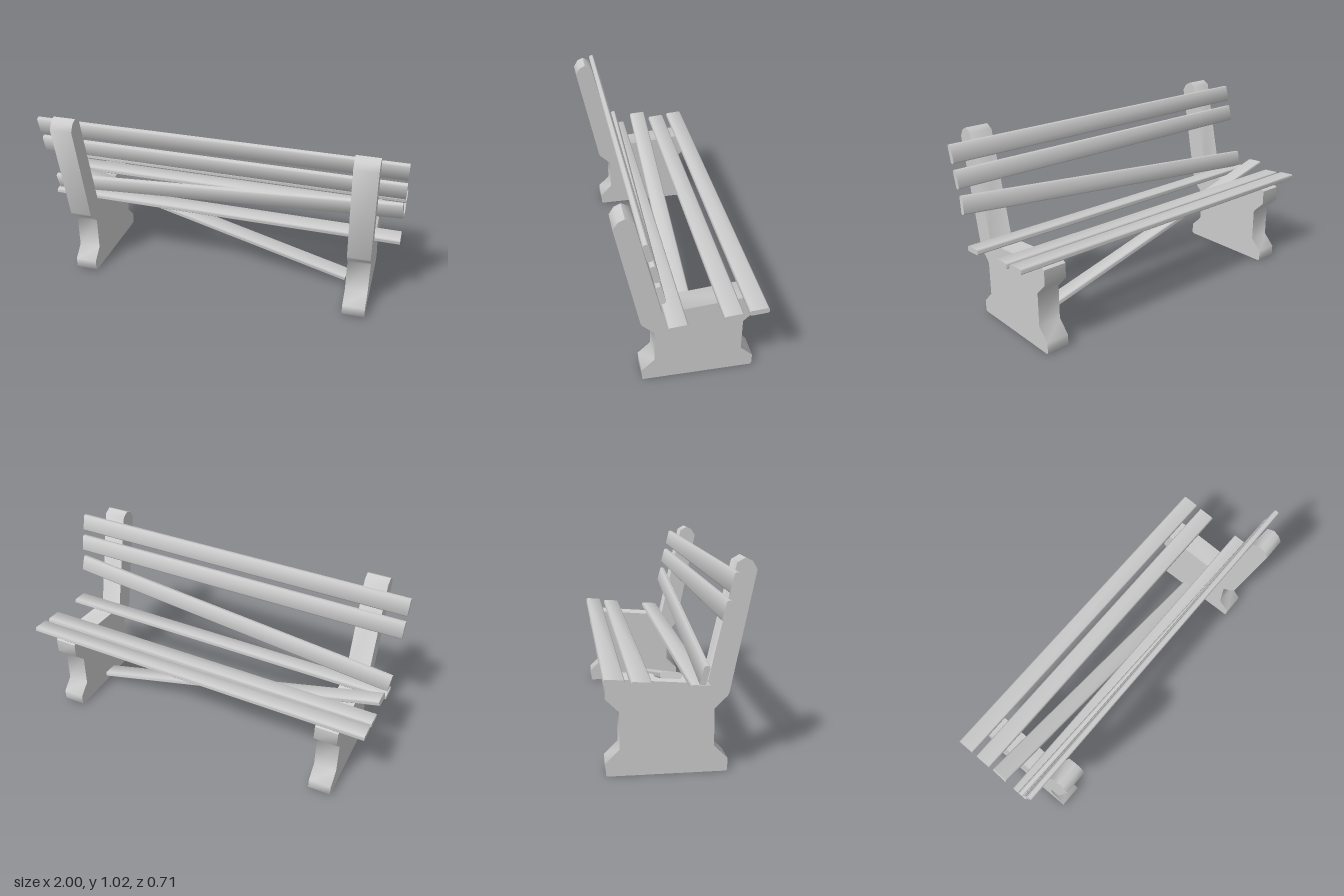
import * as THREE from 'three';
import { toCreasedNormals } from 'three/addons/utils/BufferGeometryUtils.js';

const material = new THREE.MeshStandardMaterial({ color: 0xcccccc });
const SLAT_WIDTH = 0.097, SLAT_THICK = 0.029, CHAMFER = 0.007;

// Extrudes a closed profile, centred along its depth
function extrude(points, depth, crease) {
  const shape = new THREE.Shape(points.map(([x, y]) => new THREE.Vector2(x, y)));
  const geometry = new THREE.ExtrudeGeometry(shape, { depth, bevelEnabled: false });
  geometry.translate(0, 0, -depth / 2);
  return toCreasedNormals(geometry, crease);
}

// Slat between two end centres; wide is the direction of its broad side
function slat(name, start, end, wide) {
  const a = new THREE.Vector3(...start), b = new THREE.Vector3(...end);
  const along = b.clone().sub(a);
  const length = along.length();
  along.normalize();
  const across = new THREE.Vector3(...wide);
  across.addScaledVector(along, -across.dot(along)).normalize();
  const thick = across.clone().cross(along);

  const t = SLAT_THICK / 2, w = SLAT_WIDTH / 2, c = CHAMFER;
  const profile = [
    [t, -w + c], [t, w - c], [t - c, w], [-t + c, w],
    [-t, w - c], [-t, -w + c], [-t + c, -w], [t - c, -w],
  ];
  const geometry = extrude(profile, length, 0.9);
  geometry.applyMatrix4(new THREE.Matrix4().makeBasis(thick, across, along));
  const mesh = new THREE.Mesh(geometry, material);
  mesh.name = name;
  mesh.position.copy(a).add(b).multiplyScalar(0.5);
  return mesh;
}

export function createModel() {
  const bench = new THREE.Group();
  bench.name = 'brokenBench';

  // End supports: foot, waist, seat rest and leaning back post, as [z, y]
  const supportProfile = [
    [-0.334, 0], [0.23, 0], [0.238, 0.008], [0.238, 0.065], [0.172, 0.13],
    [0.172, 0.315], [0.234, 0.375], [0.241, 0.39], [0.358, 0.968], [0.335, 1.006],
    [0.302, 1.022], [0.263, 1.0], [0.137, 0.446], [0.128, 0.438],
    [-0.32, 0.475], [-0.342, 0.461], [-0.342, 0.38], [-0.277, 0.315],
    [-0.277, 0.13], [-0.342, 0.065], [-0.342, 0.008],
  ];
  const supportGeometry = extrude(supportProfile, 0.125, 0.9);
  supportGeometry.rotateY(-Math.PI / 2);
  for (const [name, x] of [['leftSupport', 0.803], ['rightSupport', -0.803]]) {
    const support = new THREE.Mesh(supportGeometry, material);
    support.name = name;
    support.position.x = x;
    bench.add(support);
  }

  const seatWide = [0, 0.08, -1];
  const backWide = [0, 0.97, 0.241];

  // Sound seat slats, as [y, z]
  [[0.457, 0.083], [0.481, -0.185], [0.496, -0.308]].forEach(([y, z], i) =>
    bench.add(slat(`seatSlat${i + 1}`, [-1, y, z], [1, y, z], seatWide)));

  // Sound back slats, as [y, z]
  [[0.927, 0.226], [0.803, 0.194]].forEach(([y, z], i) =>
    bench.add(slat(`backSlat${i + 1}`, [-1, y, z], [1, y, z], backWide)));

  // Loose slats: one slipped off the back, one dropped from the seat
  bench.add(slat('slippedBackSlat', [-0.997, 0.512, 0.098], [0.995, 0.674, 0.167], backWide));
  bench.add(slat('fallenSeatSlat', [-0.997, 0.522, -0.055], [0.718, 0.068, -0.055], seatWide));

  return bench;
}
